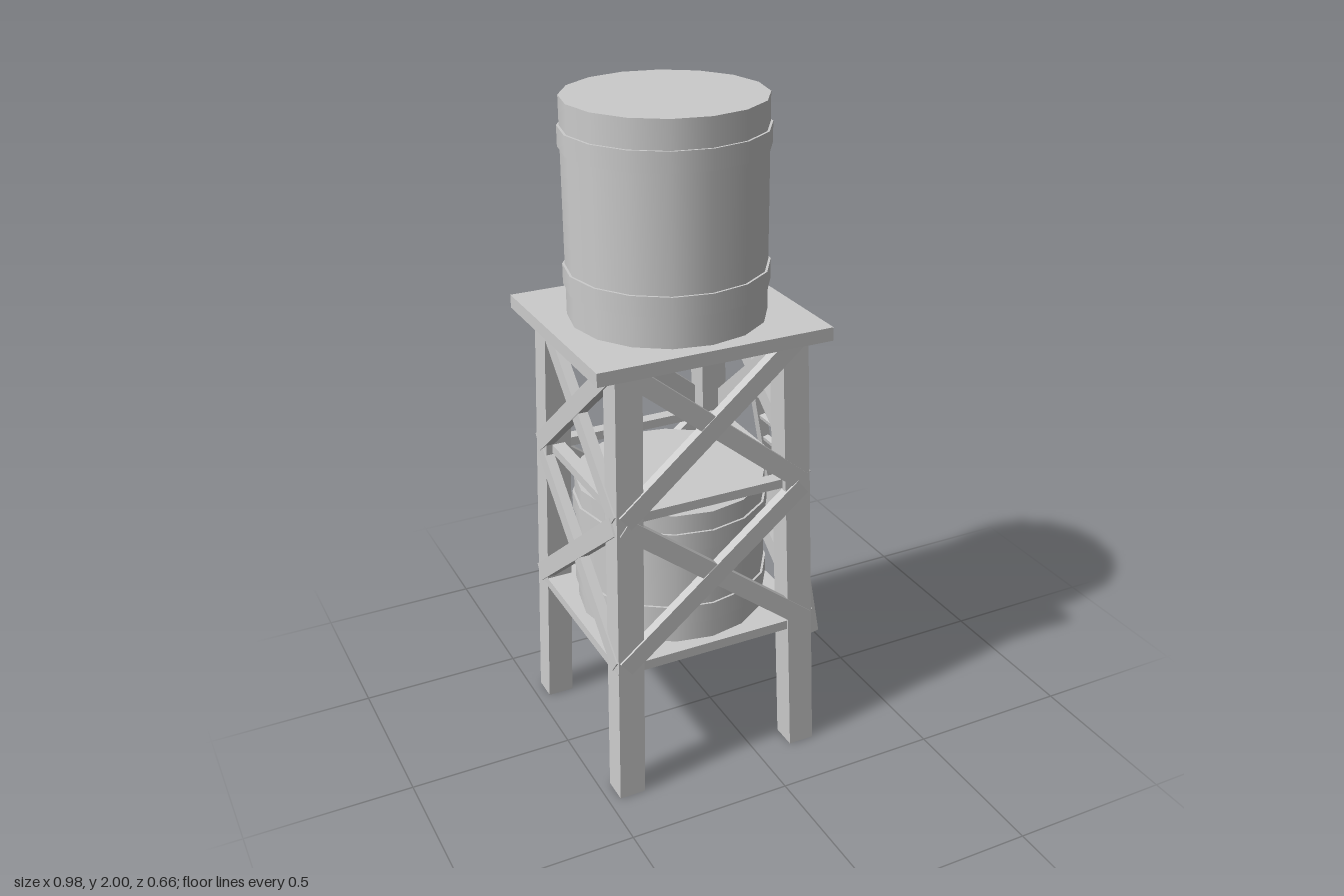
import * as THREE from 'three';

const mat = new THREE.MeshStandardMaterial({ color: 0xcccccc });

function add(parent, name, geometry, x = 0, y = 0, z = 0) {
  const m = new THREE.Mesh(geometry, mat);
  m.name = name;
  m.position.set(x, y, z);
  parent.add(m);
  return m;
}

// Half spacing of the leg centres at height y (legs lean inward)
const legOffset = (y) => 0.289 - 0.027 * y;

// Box running from a to b: w across the run, d along its local z
function beam(parent, name, a, b, w, d) {
  const dir = new THREE.Vector3().subVectors(b, a);
  const m = add(parent, name, new THREE.BoxGeometry(w, dir.length(), d));
  m.position.addVectors(a, b).multiplyScalar(0.5);
  m.quaternion.setFromUnitVectors(new THREE.Vector3(0, 1, 0), dir.normalize());
  return m;
}

// Barrel standing on y0 with two raised bands
function barrel(parent, name, y0, y1, bands) {
  const g = new THREE.Group();
  g.name = name;
  add(g, 'barrelBody', new THREE.CylinderGeometry(0.285, 0.285, y1 - y0, 16), 0, (y0 + y1) / 2, 0);
  for (const y of bands) {
    add(g, 'barrelBand', new THREE.CylinderGeometry(0.292, 0.292, 0.058, 16), 0, y, 0);
  }
  parent.add(g);
}

// Leg with level ends, sheared inward towards the top
function leg(parent, sx, sz) {
  const geo = new THREE.BoxGeometry(0.08, 1.35, 0.08);
  geo.translate(0, 0.675, 0);
  const p = geo.attributes.position;
  for (let i = 0; i < p.count; i++) {
    const o = legOffset(p.getY(i));
    p.setX(i, p.getX(i) + sx * o);
    p.setZ(i, p.getZ(i) + sz * o);
  }
  geo.computeVertexNormals();
  add(parent, 'leg', geo);
}

// Two crossed braces and a rail on one face of the frame
function frameSide(parent, angle) {
  const side = new THREE.Group();
  side.name = 'frameSide';
  side.rotation.y = angle;
  for (const [y0, y1, x0, x1] of [[0.445, 0.895, 0.295, 0.28], [0.91, 1.355, 0.28, 0.265]]) {
    for (const s of [-1, 1]) {
      const lift = 0.03 + s * 0.001;
      beam(side, 'crossBrace',
        new THREE.Vector3(-s * x0, y0, legOffset(y0) + lift),
        new THREE.Vector3(s * x1, y1, legOffset(y1) + lift), 0.055, 0.03);
    }
  }
  add(side, 'middleRail', new THREE.BoxGeometry(0.48, 0.028, 0.04), 0, 0.905, legOffset(0.9));
  parent.add(side);
}

function ladder(parent) {
  const g = new THREE.Group();
  g.name = 'ladder';
  const bottom = new THREE.Vector3(0.47, 0.04, 0);
  const top = new THREE.Vector3(0.225, 1.43, 0);
  const lean = Math.atan2(bottom.x - top.x, top.y - bottom.y);
  for (const z of [-0.287, -0.144]) {
    beam(g, 'ladderRail', bottom.clone().setZ(z), top.clone().setZ(z), 0.032, 0.033);
  }
  const count = 16;
  for (let i = 0; i < count; i++) {
    const y = 0.107 + (i * 1.215) / (count - 1);
    const p = bottom.clone().lerp(top, (y - bottom.y) / (top.y - bottom.y));
    const rung = add(g, 'ladderRung', new THREE.BoxGeometry(0.02, 0.013, 0.13), p.x, y, -0.2155);
    rung.rotation.z = lean;
  }
  parent.add(g);
}

export function createModel() {
  const model = new THREE.Group();
  model.name = 'waterTower';

  // Everything except the ladder is centred on the tower axis
  const tower = new THREE.Group();
  tower.name = 'tower';
  tower.position.x = -0.135;
  model.add(tower);

  barrel(tower, 'upperTank', 1.375, 2, [1.89, 1.5]);
  barrel(tower, 'lowerTank', 0.445, 0.87, [0.783, 0.54]);

  // Platforms
  add(tower, 'upperPlatform', new THREE.BoxGeometry(0.71, 0.04, 0.644), 0, 1.36, 0);
  add(tower, 'lowerPlatform', new THREE.BoxGeometry(0.635, 0.03, 0.625), 0, 0.435, 0);

  // Frame
  for (const sx of [-1, 1]) for (const sz of [-1, 1]) leg(tower, sx, sz);
  for (let i = 0; i < 4; i++) frameSide(tower, (i * Math.PI) / 2);

  ladder(model);
  return model;
}
